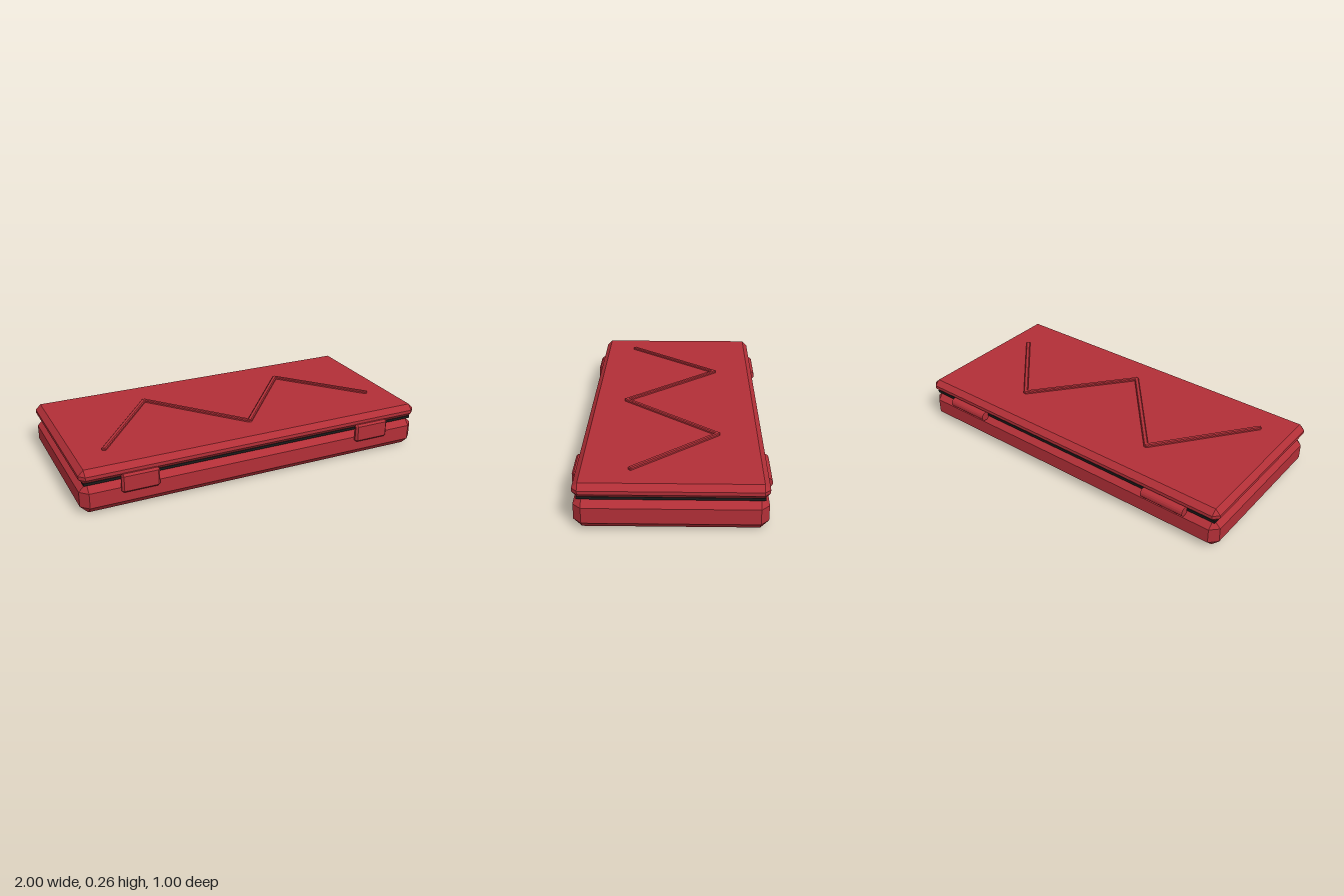
import * as THREE from 'three';
import { ConvexGeometry } from 'three/addons/geometries/ConvexGeometry.js';

// Box with every edge cut by a flat chamfer c
function chamferBox(w, h, d, c) {
  const half = [w / 2, h / 2, d / 2];
  const points = [];
  for (const sx of [-1, 1]) for (const sy of [-1, 1]) for (const sz of [-1, 1]) {
    for (let axis = 0; axis < 3; axis++) {
      const p = half.map((v, i) => (i === axis ? v : v - c));
      points.push(new THREE.Vector3(p[0] * sx, p[1] * sy, p[2] * sz));
    }
  }
  return new ConvexGeometry(points);
}

export function createModel() {
  const red = new THREE.MeshStandardMaterial({ color: 0xb22f37 });
  red.name = 'red shell';
  red.flatShading = true;
  const black = new THREE.MeshStandardMaterial({ color: 0x1a1a1a });
  black.name = 'black seal';

  const group = new THREE.Group();
  group.name = 'case';
  const add = (name, geometry, material, x, y, z) => {
    const mesh = new THREE.Mesh(geometry, material);
    mesh.name = name;
    mesh.position.set(x, y, z);
    group.add(mesh);
    return mesh;
  };

  // Two shells with a thin seal between them
  add('base', chamferBox(2, 0.167, 0.951, 0.042), red, 0, 0.0835, 0.002);
  add('lid', chamferBox(2, 0.077, 0.951, 0.029), red, 0, 0.2105, 0.002);
  add('seal', new THREE.BoxGeometry(1.955, 0.014, 0.91), black, 0, 0.17, 0.002);

  // Front latches and rear hinge barrels
  for (const side of [-1, 1]) {
    const name = side > 0 ? 'left' : 'right';
    add(name + 'Latch', chamferBox(0.205, 0.105, 0.032, 0.011), red, side * 0.69, 0.151, 0.484);
    const hinge = add(name + 'Hinge', new THREE.CylinderGeometry(0.026, 0.026, 0.254, 16), red, side * 0.688, 0.168, -0.473);
    hinge.rotation.z = Math.PI / 2;
  }

  // Raised zigzag rib on the lid
  const path = [[-0.812, 0.278], [-0.41, -0.236], [0.025, 0.278], [0.455, -0.236], [0.835, 0.205]];
  for (let i = 0; i < path.length - 1; i++) {
    const [x0, z0] = path[i], [x1, z1] = path[i + 1];
    const length = Math.hypot(x1 - x0, z1 - z0) + 0.014;
    const rib = add('zigzagRib' + (i + 1), chamferBox(length, 0.018, 0.025, 0.005), red,
      (x0 + x1) / 2, 0.253, (z0 + z1) / 2);
    rib.rotation.y = -Math.atan2(z1 - z0, x1 - x0);
  }
  return group;
}
